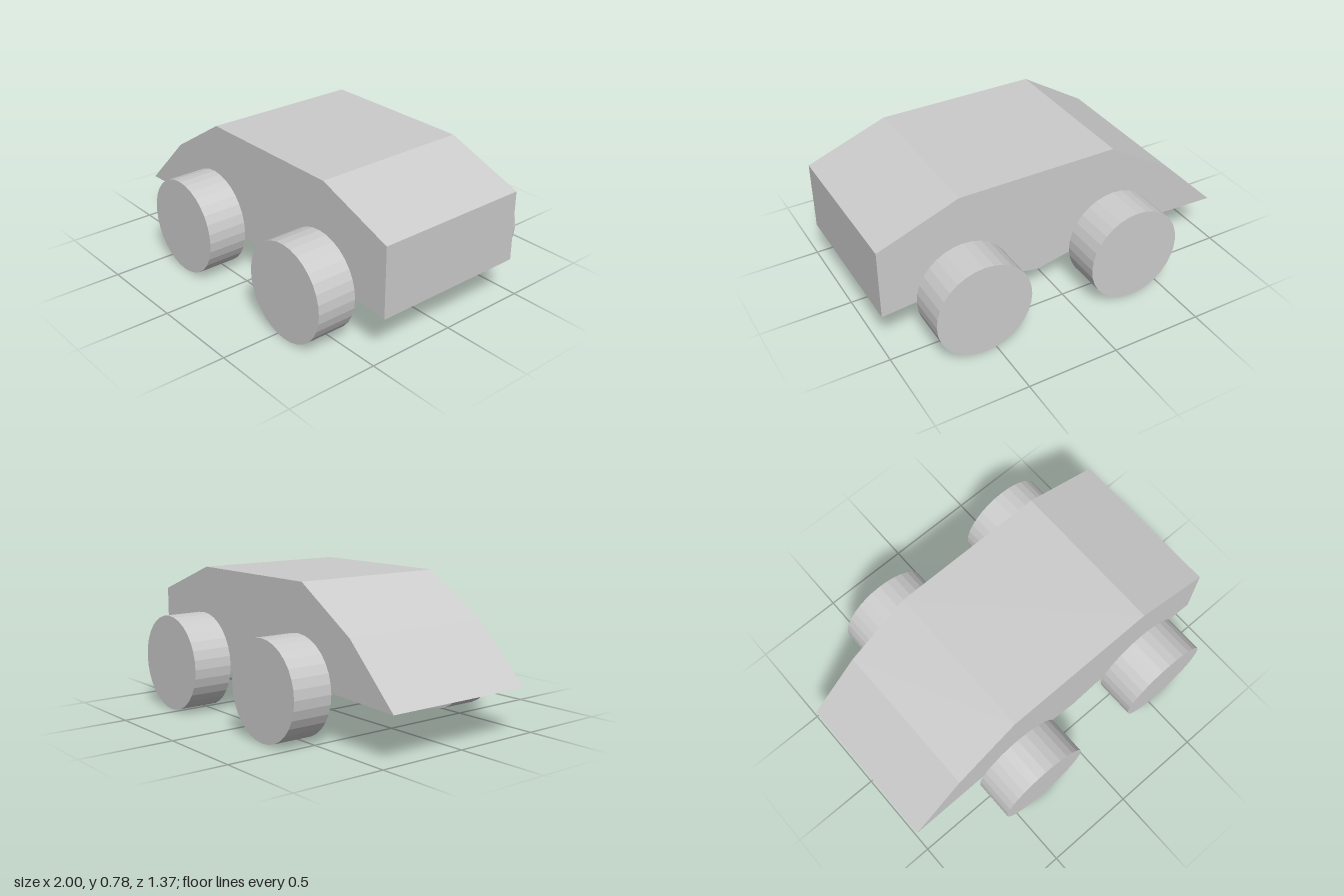
import * as THREE from 'three';

export function createModel() {
  const model = new THREE.Group();
  model.name = 'car';
  const material = new THREE.MeshStandardMaterial({ color: 0xcccccc, flatShading: true });

  // Body: side profile extruded across the width
  const bodyWidth = 0.878;
  const profile = [
    [-1, 0.245], [-0.32, 0.272], [0.12, 0.18], [0.56, 0.272], [1, 0.232],
    [1, 0.617], [0.56, 0.78], [-0.32, 0.78], [-0.69, 0.55],
  ].map(([x, y]) => new THREE.Vector2(x, y));
  const bodyGeometry = new THREE.ExtrudeGeometry(new THREE.Shape(profile), {
    depth: bodyWidth, bevelEnabled: false,
  });
  bodyGeometry.translate(0, 0, -bodyWidth / 2);
  const body = new THREE.Mesh(bodyGeometry, material);
  body.name = 'body';
  model.add(body);

  // Wheels: four faceted discs standing clear of the body sides
  const radius = 0.262;
  const wheelGeometry = new THREE.CylinderGeometry(radius, radius, 0.221, 32);
  wheelGeometry.rotateX(Math.PI / 2);
  for (const [end, x] of [['front', -0.319], ['rear', 0.56]]) {
    for (const [side, z] of [['Left', 0.572], ['Right', -0.572]]) {
      const wheel = new THREE.Mesh(wheelGeometry, material);
      wheel.name = `${end}Wheel${side}`;
      wheel.position.set(x, radius + 0.003, z);
      model.add(wheel);
    }
  }
  return model;
}
